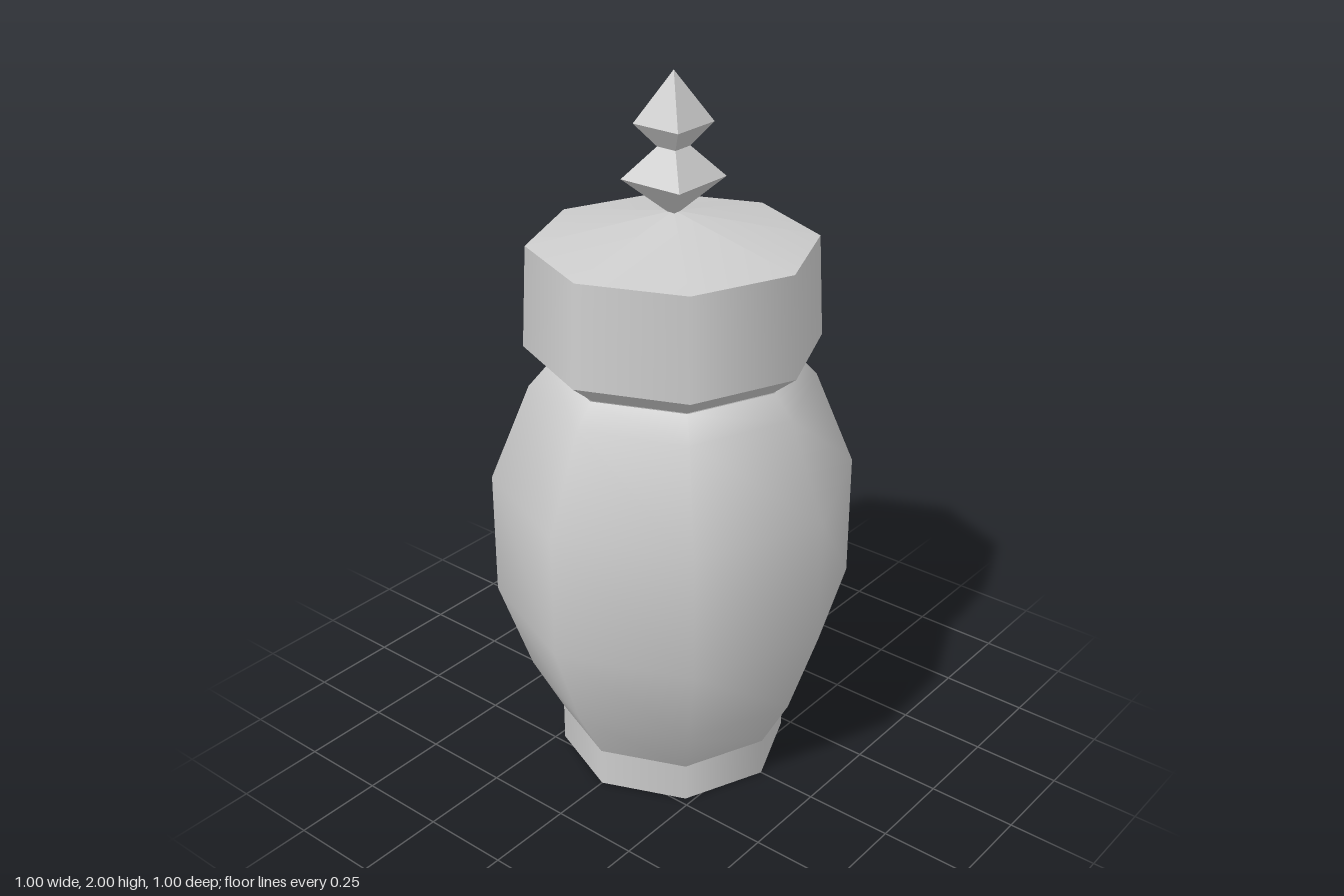
import * as THREE from 'three';

const smooth = new THREE.MeshStandardMaterial({ color: 0xcccccc, side: THREE.DoubleSide });
const faceted = new THREE.MeshStandardMaterial({ color: 0xcccccc, flatShading: true });

// Turned band from [radius, height] pairs, listed bottom to top
function turned(name, profile, sides = 8, material = smooth, start = 0) {
  const points = profile.map(([r, y]) => new THREE.Vector2(r, y));
  const mesh = new THREE.Mesh(new THREE.LatheGeometry(points, sides, start), material);
  mesh.name = name;
  return mesh;
}

export function createModel() {
  const model = new THREE.Group();
  model.name = 'liddedJar';

  // Open foot ring and rounded octagonal body
  model.add(turned('foot', [[0.325, 0], [0.325, 0.112]]));
  model.add(turned('body', [
    [0.325, 0.112], [0.41, 0.27], [0.5, 0.53], [0.5, 0.885], [0.39, 1.155], [0.335, 1.215],
  ]));

  // Lid in separate bands so the edges between them stay sharp
  const lid = new THREE.Group();
  lid.name = 'lid';
  lid.add(turned('lidUnderside', [[0.33, 1.215], [0.4, 1.272]]));
  lid.add(turned('lidWall', [[0.4, 1.272], [0.385, 1.552]]));
  lid.add(turned('lidTop', [[0.385, 1.552], [0, 1.635]]));

  // Square finial of two stacked diamonds, given as half widths
  const finial = [[0.01, 1.63], [0.096, 1.722], [0.03, 1.805], [0.073, 1.866], [0, 2]]
    .map(([half, y]) => [half * Math.SQRT2, y]);
  lid.add(turned('finial', finial, 4, faceted, Math.PI / 4));
  model.add(lid);

  return model;
}
